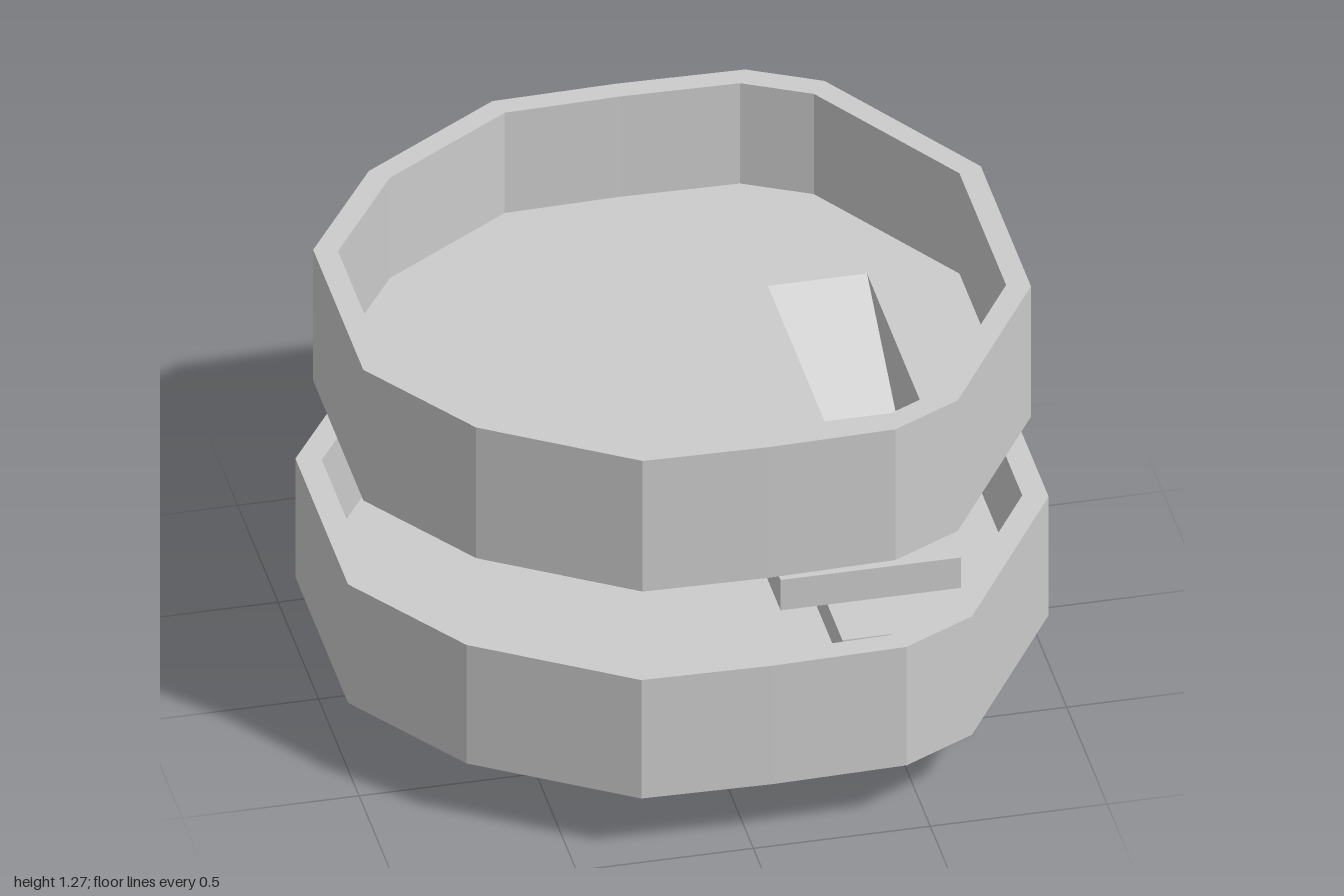
import * as THREE from 'three';

const material = new THREE.MeshStandardMaterial({ color: 0xcccccc, flatShading: true });

// Irregular outline shared by both trays, as [x, z]
const half = [[0.99, -0.33], [0.65, -0.87], [0.44, -0.98], [0.06, -0.99], [-0.31, -0.98], [-0.74, -0.7], [-0.99, -0.33]];
const outline = [...half, ...half.slice().reverse().map(([x, z]) => [x, -z - 0.01])];

const ring = (scale) => outline.map(([x, z]) => new THREE.Vector2(x * scale, -z * scale));

function rect(x0, x1, z0, z1) {
  return [[x0, -z0], [x1, -z0], [x1, -z1], [x0, -z1]].map(([x, y]) => new THREE.Vector2(x, y));
}

function mesh(name, geometry) {
  const m = new THREE.Mesh(geometry, material);
  m.name = name;
  return m;
}

// Plan shape with optional hole, raised from y0 to y1
function slab(name, points, hole, y0, y1) {
  const shape = new THREE.Shape(points);
  if (hole) shape.holes.push(new THREE.Path(hole));
  const g = new THREE.ExtrudeGeometry(shape, { depth: y1 - y0, bevelEnabled: false });
  g.rotateX(-Math.PI / 2).translate(0, y0, 0);
  return mesh(name, g);
}

// Floor plus surrounding wall
function tray(name, outer, inner, y0, floorTop, y1, hole) {
  const group = new THREE.Group();
  group.name = name;
  group.add(slab(name + 'Floor', ring(inner), hole, y0, floorTop));
  group.add(slab(name + 'Wall', ring(outer), ring(inner), y0, y1));
  return group;
}

function block(name, x0, x1, y0, y1, z0, z1) {
  const m = mesh(name, new THREE.BoxGeometry(x1 - x0, y1 - y0, z1 - z0));
  m.position.set((x0 + x1) / 2, (y0 + y1) / 2, (z0 + z1) / 2);
  return m;
}

// Side profile of [z, y] points, extruded from x0 to x1
function ramp(name, x0, x1, profile) {
  const shape = new THREE.Shape(profile.map(([z, y]) => new THREE.Vector2(-z, y)));
  const g = new THREE.ExtrudeGeometry(shape, { depth: x1 - x0, bevelEnabled: false });
  g.rotateY(Math.PI / 2).translate(x0, 0, 0);
  return mesh(name, g);
}

export function createModel() {
  const model = new THREE.Group();
  model.name = 'twoTierTray';

  // Trays, the upper one with an opening for the ramp
  model.add(tray('lowerTray', 1, 0.93, 0.19, 0.27, 0.58));
  model.add(tray('upperTray', 0.953, 0.887, 0.84, 0.94, 1.27, rect(0.35, 0.63, -0.37, 0.35)));

  // Box passing through the lower floor
  model.add(block('baseBox', 0.35, 0.71, 0, 0.36, -0.37, 0.57));

  // Switchback: lower ramp, landing, upper ramp
  model.add(ramp('lowerRamp', 0.18, 0.34, [[-0.27, 0.27], [-0.1, 0.27], [0.22, 0.47], [0.22, 0.57], [0.2, 0.57]]));
  model.add(block('landing', 0.18, 0.69, 0.47, 0.57, 0.22, 0.55));
  model.add(ramp('upperRamp', 0.35, 0.63, [[0.22, 0.57], [-0.35, 0.94], [-0.37, 0.94], [-0.37, 0.84], [0.03, 0.58], [0.2, 0.47], [0.22, 0.47]]));

  return model;
}
